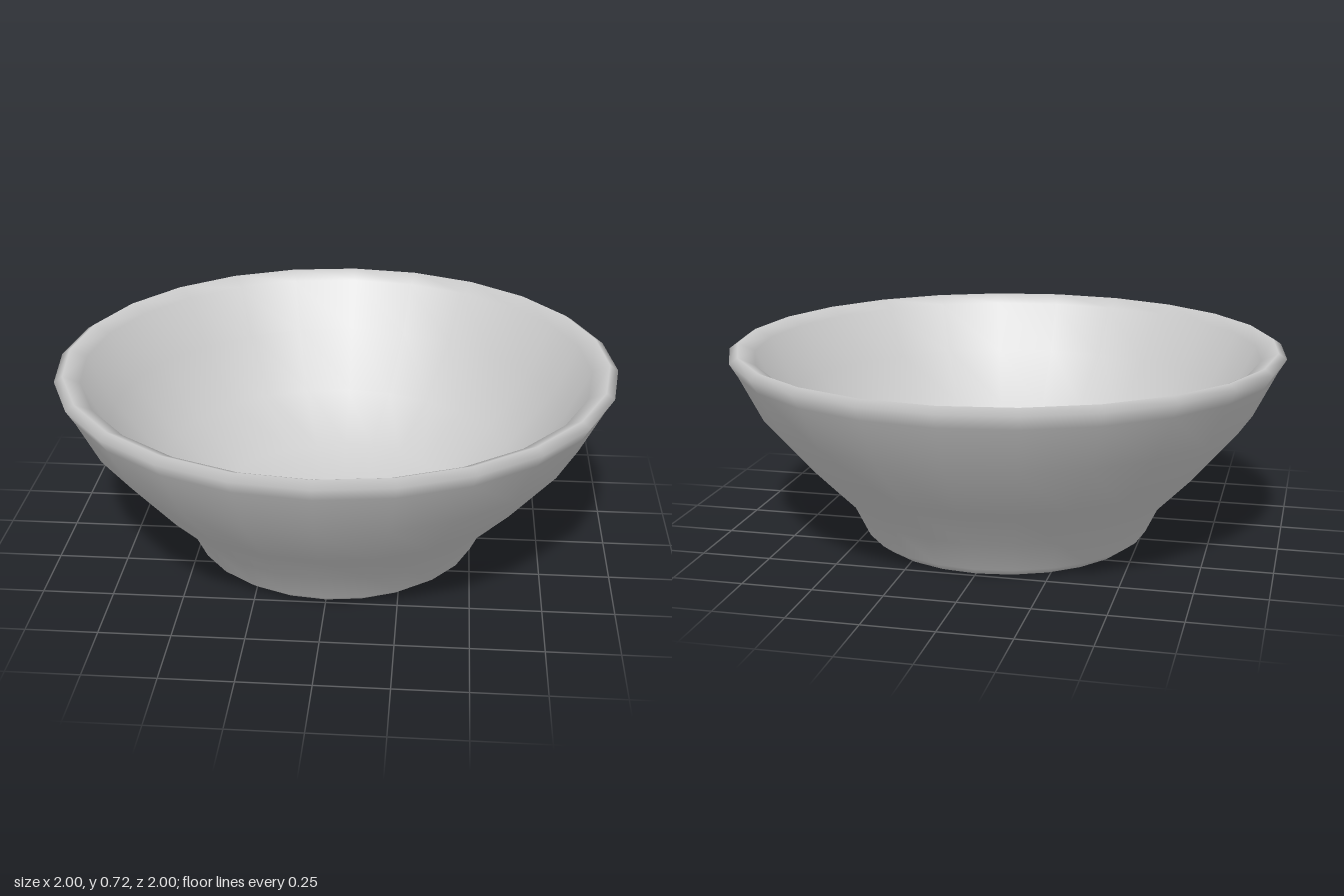
import * as THREE from 'three';
import { mergeVertices } from 'three/addons/utils/BufferGeometryUtils.js';

const SIDES = 24;

// Closed profile: underside, foot, flaring wall, sloped lip, then the rounded inside down to its floor
const PROFILE = [
  [0, 0], [0.48, 0], [0.52, 0.03], [0.573, 0.14], [0.72, 0.29],
  [0.89, 0.49], [0.97, 0.65], [1, 0.7], [0.97, 0.72], [0.91, 0.69],
  [0.82, 0.51], [0.65, 0.31], [0.44, 0.16], [0.22, 0.11], [0, 0.1],
].map(([r, y]) => new THREE.Vector2(r, y));

// Turned body with its seam welded, so the shading is smooth all the way round
function bowlGeometry() {
  const lathe = new THREE.LatheGeometry(PROFILE, SIDES);
  lathe.deleteAttribute('uv');
  lathe.deleteAttribute('normal');
  const geometry = mergeVertices(lathe, 1e-4);
  geometry.computeVertexNormals();
  return geometry;
}

export function createModel() {
  const group = new THREE.Group();
  group.name = 'bowl';
  const material = new THREE.MeshStandardMaterial({ color: 0xcccccc });
  const body = new THREE.Mesh(bowlGeometry(), material);
  body.name = 'bowlBody';
  group.add(body);
  return group;
}
